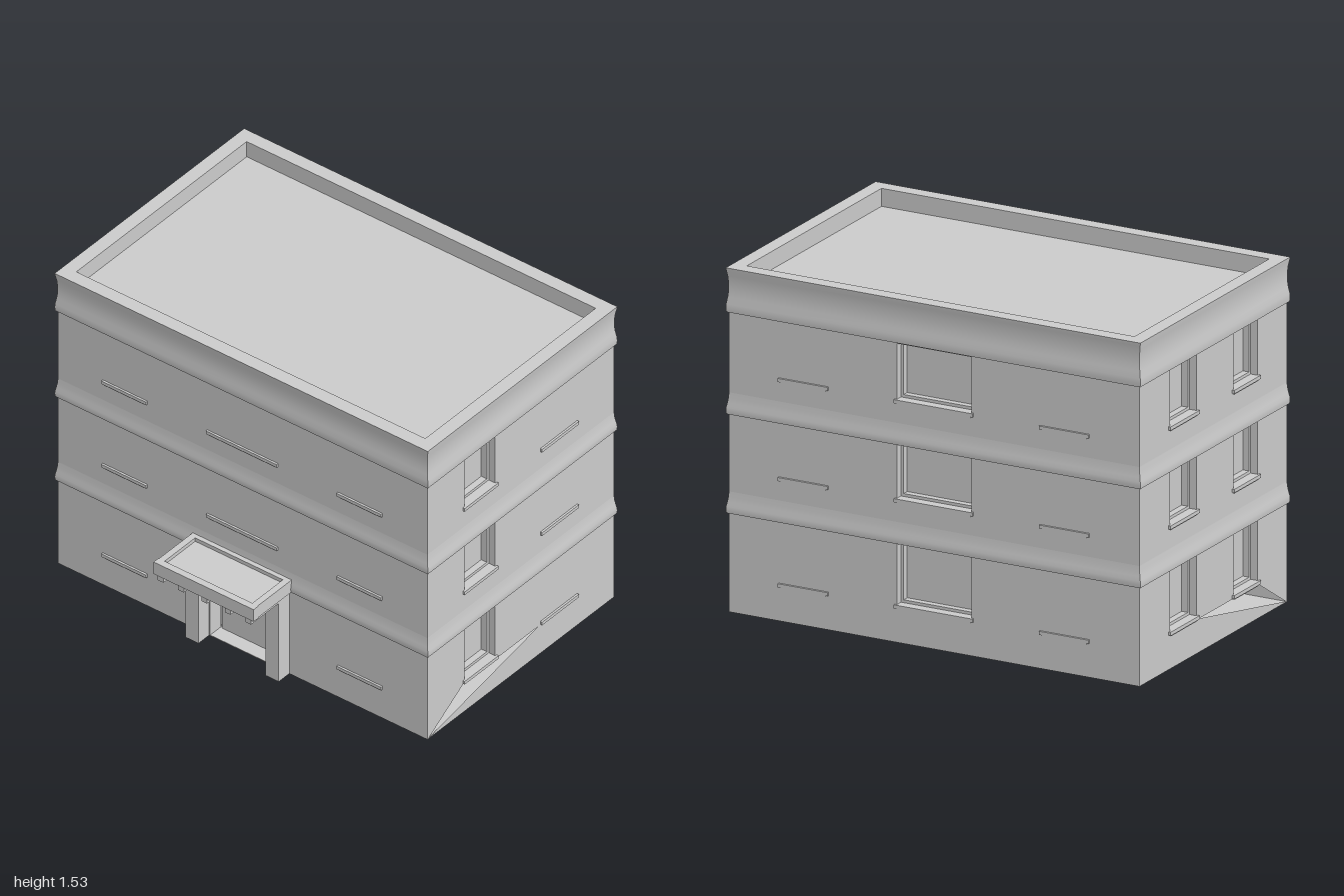
import * as THREE from 'three';
import { toCreasedNormals } from 'three/addons/utils/BufferGeometryUtils.js';

const HALF_X = 0.99, FRONT = 0.505, BACK = -0.76, TOP = 1.34;
const material = new THREE.MeshStandardMaterial({ color: 0xcccccc });
const thin = new THREE.MeshStandardMaterial({ color: 0xcccccc, side: THREE.DoubleSide });

function add(parent, name, geometry, mat = material) {
  const mesh = new THREE.Mesh(geometry, mat);
  mesh.name = name;
  parent.add(mesh);
  return mesh;
}

// Box given by its two opposite corners
function block(parent, name, x0, x1, y0, y1, z0, z1) {
  const mesh = add(parent, name, new THREE.BoxGeometry(x1 - x0, y1 - y0, z1 - z0));
  mesh.position.set((x0 + x1) / 2, (y0 + y1) / 2, (z0 + z1) / 2);
  return mesh;
}

const corners = (u0, u1, y0, y1) => [[u0, y0], [u1, y0], [u1, y1], [u0, y1]].map(p => new THREE.Vector2(...p));

// Rectangular ring between an opening and a larger outline, extruded in z
function ring(parent, name, [u0, u1, y0, y1], grow, z0, z1) {
  const shape = new THREE.Shape(corners(u0 - grow, u1 + grow, y0 - grow, y1 + grow));
  shape.holes.push(new THREE.Path(corners(u0, u1, y0, y1)));
  const geometry = new THREE.ExtrudeGeometry(shape, { depth: z1 - z0, bevelEnabled: false });
  add(parent, name, geometry.translate(0, 0, z0));
}

// Moulding: a profile of [outward offset, height] swept round the rectangular plan
function moulding(parent, name, profile) {
  const positions = [];
  const point = (k, [o, y]) => [
    (k % 4 < 2 ? 1 : -1) * (HALF_X + o), y,
    k % 4 === 0 || k % 4 === 3 ? FRONT + o : BACK - o];
  for (let k = 0; k < 4; k++) {
    for (let i = 0; i < profile.length - 1; i++) {
      const a = point(k, profile[i]), b = point(k + 1, profile[i]);
      const c = point(k + 1, profile[i + 1]), d = point(k, profile[i + 1]);
      positions.push(...a, ...b, ...c, ...a, ...c, ...d);
    }
  }
  const geometry = new THREE.BufferGeometry();
  geometry.setAttribute('position', new THREE.Float32BufferAttribute(positions, 3));
  geometry.computeVertexNormals();
  add(parent, name, toCreasedNormals(geometry, 0.6), thin);
}

// Recessed window: deep reveal, narrow frame and pane
function windowUnit(parent, [u0, u1, y0, y1]) {
  const unit = new THREE.Group();
  unit.name = 'window';
  ring(unit, 'windowReveal', [u0, u1, y0, y1], 0.01, -0.07, -0.001);
  const f = 0.013;
  ring(unit, 'windowFrame', [u0 + f, u1 - f, y0 + f, y1 - f], f, -0.07, -0.035);
  block(unit, 'windowPane', u0, u1, y0, y1, -0.075, -0.065);
  parent.add(unit);
}

// Wall in its own plane: u runs to the viewer's right, +z is outward
function wall(parent, name, u0, u1, openings, gap) {
  const group = new THREE.Group();
  group.name = name;
  const shape = new THREE.Shape(corners(u0, u1, 0, TOP));
  openings.forEach(o => shape.holes.push(new THREE.Path(corners(...o))));
  if (gap) shape.holes.push(new THREE.Path(gap.map(p => new THREE.Vector2(...p))));
  add(group, name + 'Surface', new THREE.ShapeGeometry(shape), thin);
  parent.add(group);
  return group;
}

function sill(parent, u0, u1, top) {
  block(parent, 'sill', u0, u1, top - 0.016, top, -0.03, 0.01);
  block(parent, 'sillUnderside', u0 + 0.012, u1 - 0.012, top - 0.022, top - 0.016, -0.03, 0.005);
}

export function createModel() {
  const model = new THREE.Group();
  model.name = 'building';
  const sills = [0.168, 0.64, 1.08];
  const heads = [0.437, 0.877, 1.328];
  const storeys = (u0, u1) => sills.map((s, i) => [u0, u1, s, heads[i]]);

  // Front wall with doorway
  const door = [-0.175, 0.175, 0.003, 0.437];
  const front = wall(model, 'frontWall', -HALF_X, HALF_X, [door]);
  front.position.z = FRONT;
  ring(front, 'doorReveal', door, 0.003, -0.075, -0.001);
  block(front, 'door', -0.165, 0.165, 0.003, 0.437, -0.08, -0.07);
  block(front, 'doorBacking', -0.178, 0.178, 0, 0.44, -0.085, -0.08);
  sills.forEach((s, i) => {
    sill(front, -0.75, -0.51, s);
    sill(front, 0.51, 0.75, s);
    if (i > 0) sill(front, -0.19, 0.19, s);
  });

  // Back wall with a column of wide windows
  const backWindows = storeys(-0.18, 0.18);
  const back = wall(model, 'backWall', -HALF_X, HALF_X, backWindows);
  back.position.z = BACK;
  back.rotation.y = Math.PI;
  backWindows.forEach(w => windowUnit(back, w));
  sills.forEach(s => [[-0.75, -0.51], [-0.19, 0.19], [0.51, 0.75]].forEach(([a, b]) => sill(back, a, b, s)));

  // Side walls: the left one has windows near the front, the right one has two columns
  for (const side of [1, -1]) {
    const openings = side > 0 ? storeys(-0.255, -0.045)
      : [...storeys(0.045, 0.255), ...storeys(-0.5, -0.27)];
    const gap = [[0.495, 0.004], [0.26, 0.15], [-0.25, 0.15]].map(([z, y]) => [-side * z, y]);
    const ends = [-side * FRONT, -side * BACK].sort((a, b) => a - b);
    const sideWall = wall(model, side > 0 ? 'leftWall' : 'rightWall', ...ends, openings, gap);
    sideWall.position.x = side * HALF_X;
    sideWall.rotation.y = side * Math.PI / 2;
    openings.forEach(w => windowUnit(sideWall, w));
    for (const [z0, z1] of [[0.035, 0.265], [-0.51, -0.26]]) {
      const [a, b] = [-side * z0, -side * z1].sort((p, q) => p - q);
      sills.forEach(s => sill(sideWall, a, b, s));
    }
  }

  // Floor and roof deck
  for (const [name, y, inset] of [['floor', 0, 0], ['roofDeck', 1.45, 0.055]]) {
    const plane = new THREE.PlaneGeometry(2 * (HALF_X - inset), FRONT - BACK - 2 * inset);
    plane.rotateX(-Math.PI / 2);
    add(model, name, plane, thin).position.set(0, y, (FRONT + BACK) / 2);
  }

  // Storey mouldings
  for (const y of [0.44, 0.88]) {
    moulding(model, 'storeyMoulding', [[0, 0], [0.008, 0], [0.01, 0.015], [0.009, 0.03],
      [0.005, 0.05], [0.002, 0.07], [0, 0.095]].map(([o, h]) => [o, y + h]));
  }

  // Cornice and parapet
  moulding(model, 'corniceAndParapet', [[0, 1.333], [0.008, 1.333], [0.01, 1.35], [0.009, 1.37],
    [0.004, 1.4], [0.001, 1.43], [0.001, 1.46], [0.004, 1.495], [0.008, 1.515], [0.01, 1.53],
    [-0.055, 1.53], [-0.055, 1.45]]);

  // Porch: columns, canopy with raised rim, brackets
  const porch = new THREE.Group();
  porch.name = 'porch';
  for (const s of [-1, 1]) {
    block(porch, 'porchColumn', s * 0.215 - 0.035, s * 0.215 + 0.035, 0, 0.44, FRONT - 0.005, 0.577);
    block(porch, 'canopySideRim', s * 0.25 - 0.015, s * 0.25 + 0.015, 0.44, 0.503, FRONT, 0.767);
  }
  block(porch, 'canopySlab', -0.24, 0.24, 0.44, 0.485, FRONT, 0.75);
  block(porch, 'canopyFrontRim', -0.268, 0.268, 0.44, 0.503, 0.737, 0.77);
  block(porch, 'canopyBackRim', -0.24, 0.24, 0.48, 0.503, FRONT, 0.53);
  for (const x of [-0.235, -0.125, 0, 0.125, 0.235]) {
    block(porch, 'canopyBracket', x - 0.015, x + 0.015, 0.413, 0.441, 0.7, 0.765);
  }
  for (const s of [-1, 1]) {
    block(porch, 'canopySideBracket', s * 0.235 - 0.015, s * 0.235 + 0.015, 0.413, 0.441, 0.575, 0.7);
  }
  model.add(porch);
  return model;
}
